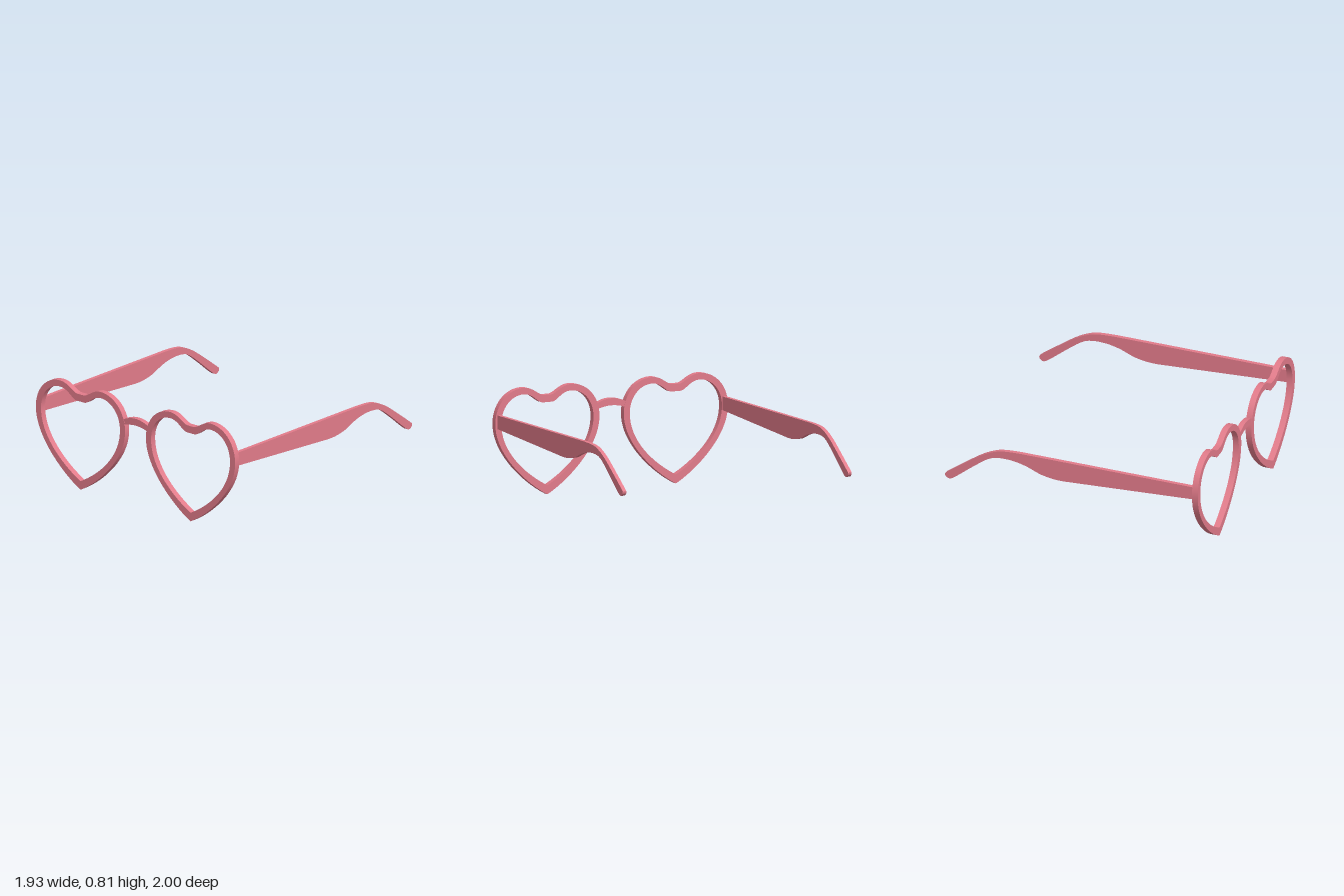
import * as THREE from 'three';
import { toCreasedNormals } from 'three/addons/utils/BufferGeometryUtils.js';

const material = new THREE.MeshStandardMaterial({ color: 0xe27b8a });

// Extrudes a flat outline, keeping gentle curves smooth and corners sharp
function extrude(shape, depth, curveSegments = 20) {
  const geometry = new THREE.ExtrudeGeometry(shape, { depth, curveSegments, bevelEnabled: false });
  return toCreasedNormals(geometry, 0.5);
}

function part(name, geometry, x, z) {
  const mesh = new THREE.Mesh(geometry, material);
  mesh.name = name;
  mesh.position.set(x, 0, z);
  return mesh;
}

// Heart outline: one half as Bezier curves from the tip to the notch, then its mirror
function drawHeart(path, { tip, low, side, lobe, notch }) {
  const [w, h] = side;
  const [lx, ly] = lobe;
  const [nx, ny] = notch;
  const cw = w - (w - lx) * 0.45; // control point of the lobe's top
  const ch = h + (ly - h) * 0.58; // control point of the lobe's side
  path.moveTo(0, tip);
  path.bezierCurveTo(low[0], low[1], w, h - 0.23, w, h);
  path.bezierCurveTo(w, ch, cw, ly, lx, ly);
  path.bezierCurveTo(lx - 0.08, ly, nx + 0.045, ny, nx, ny);
  path.lineTo(-nx, ny);
  path.bezierCurveTo(-nx - 0.045, ny, -lx + 0.08, ly, -lx, ly);
  path.bezierCurveTo(-cw, ly, -w, ch, -w, h);
  path.bezierCurveTo(-w, h - 0.23, -low[0], low[1], 0, tip);
  return path;
}

function rimGeometry() {
  const rim = drawHeart(new THREE.Shape(), {
    tip: 0, low: [0.17, 0.09], side: [0.433, 0.55], lobe: [0.197, 0.805], notch: [0.027, 0.74],
  });
  rim.holes.push(drawHeart(new THREE.Path(), {
    tip: 0.067, low: [0.15, 0.145], side: [0.383, 0.55], lobe: [0.197, 0.757], notch: [0.036, 0.685],
  }));
  return extrude(rim, 0.046);
}

// Slightly arched bar between the rims
function bridgeGeometry() {
  const shape = new THREE.Shape();
  shape.moveTo(-0.125, 0.64);
  shape.quadraticCurveTo(0, 0.706, 0.125, 0.64);
  shape.lineTo(0.115, 0.6);
  shape.quadraticCurveTo(0, 0.64, -0.115, 0.6);
  return extrude(shape, 0.04);
}

// Side profile of an arm, drawn in (z, y) and turned so it runs front to back
function armGeometry() {
  const v = (z, y) => new THREE.Vector2(z, y);
  const shape = new THREE.Shape();
  shape.moveTo(0.957, 0.516);
  shape.lineTo(-0.07, 0.453);
  shape.splineThru([
    v(-0.15, 0.456), v(-0.25, 0.475), v(-0.366, 0.52), v(-0.473, 0.543), v(-0.58, 0.543),
    v(-0.66, 0.518), v(-0.767, 0.44), v(-0.917, 0.318), v(-0.962, 0.291), v(-0.99, 0.3),
    v(-1, 0.32), v(-0.985, 0.34), v(-0.85, 0.44), v(-0.714, 0.536), v(-0.607, 0.589),
    v(-0.52, 0.608), v(-0.4, 0.614),
  ]);
  shape.lineTo(0.957, 0.617);
  return extrude(shape, 0.03, 5).rotateY(-Math.PI / 2).translate(0.015, 0, 0);
}

export function createModel() {
  const model = new THREE.Group();
  model.name = 'heartGlasses';
  const rim = rimGeometry();
  const arm = armGeometry();
  for (const [label, side] of [['left', 1], ['right', -1]]) {
    model.add(part(label + 'Rim', rim, side * 0.534, 0.953));
    model.add(part(label + 'Arm', arm, side * 0.936, 0));
  }
  model.add(part('bridge', bridgeGeometry(), 0, 0.956));
  return model;
}
